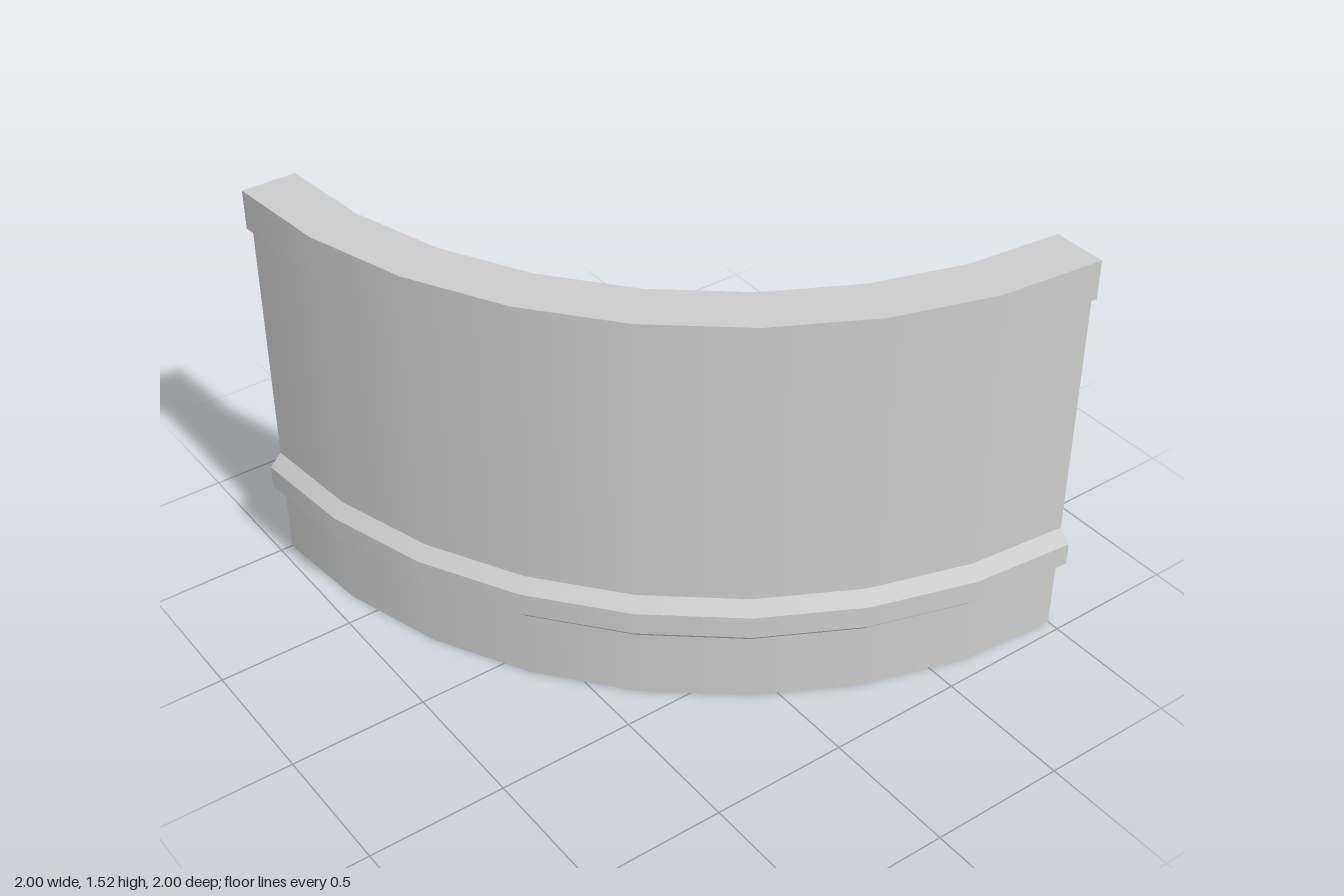
import * as THREE from 'three';
import { mergeGeometries } from 'three/addons/utils/BufferGeometryUtils.js';

const MID = 1.8775;      // mid-wall radius of the quarter ring
const SEGMENTS = 8;

// Half thickness and height, from the open bottom to the top
const HALF = [
  [0.0775, 0], [0.0775, 0.255],                                   // base
  [0.1225, 0.3], [0.1225, 0.385], [0.0775, 0.43],                 // moulding
  [0.0775, 1.375], [0.0985, 1.375], [0.0985, 1.52],               // wall and coping
];

export function createModel() {
  const group = new THREE.Group();
  group.name = 'curvedWall';
  const material = new THREE.MeshStandardMaterial({ color: 0xcccccc, side: THREE.DoubleSide });

  const add = (name, geometry) => {
    const mesh = new THREE.Mesh(geometry, material);
    mesh.name = name;
    mesh.position.set(-1, 0, -1);
    group.add(mesh);
  };

  // Up the outer side, over the top, down the inner side
  const outer = HALF.map(([h, y]) => new THREE.Vector2(MID + h, y));
  const inner = HALF.map(([h, y]) => new THREE.Vector2(MID - h, y)).reverse();
  const profile = [...outer, ...inner];

  // One swept strip per profile edge: smooth around, sharp between strips
  const sweep = (from, to) => {
    const strips = [];
    for (let i = from; i < to; i++) {
      strips.push(new THREE.LatheGeometry([profile[i], profile[i + 1]], SEGMENTS, 0, Math.PI / 2));
    }
    return mergeGeometries(strips);
  };
  const n = HALF.length;
  add('outerFace', sweep(0, n - 1));
  add('topFace', sweep(n - 1, n));
  add('innerFace', sweep(n, 2 * n - 1));

  // End faces closing the profile; the underside stays open
  const shape = new THREE.Shape(profile);
  add('rightEnd', new THREE.ShapeGeometry(shape).rotateY(-Math.PI / 2));

  const back = new THREE.ShapeGeometry(shape).scale(1, 1, -1);
  back.setIndex([...back.index.array].reverse());
  back.computeVertexNormals();
  add('backEnd', back);

  return group;
}
